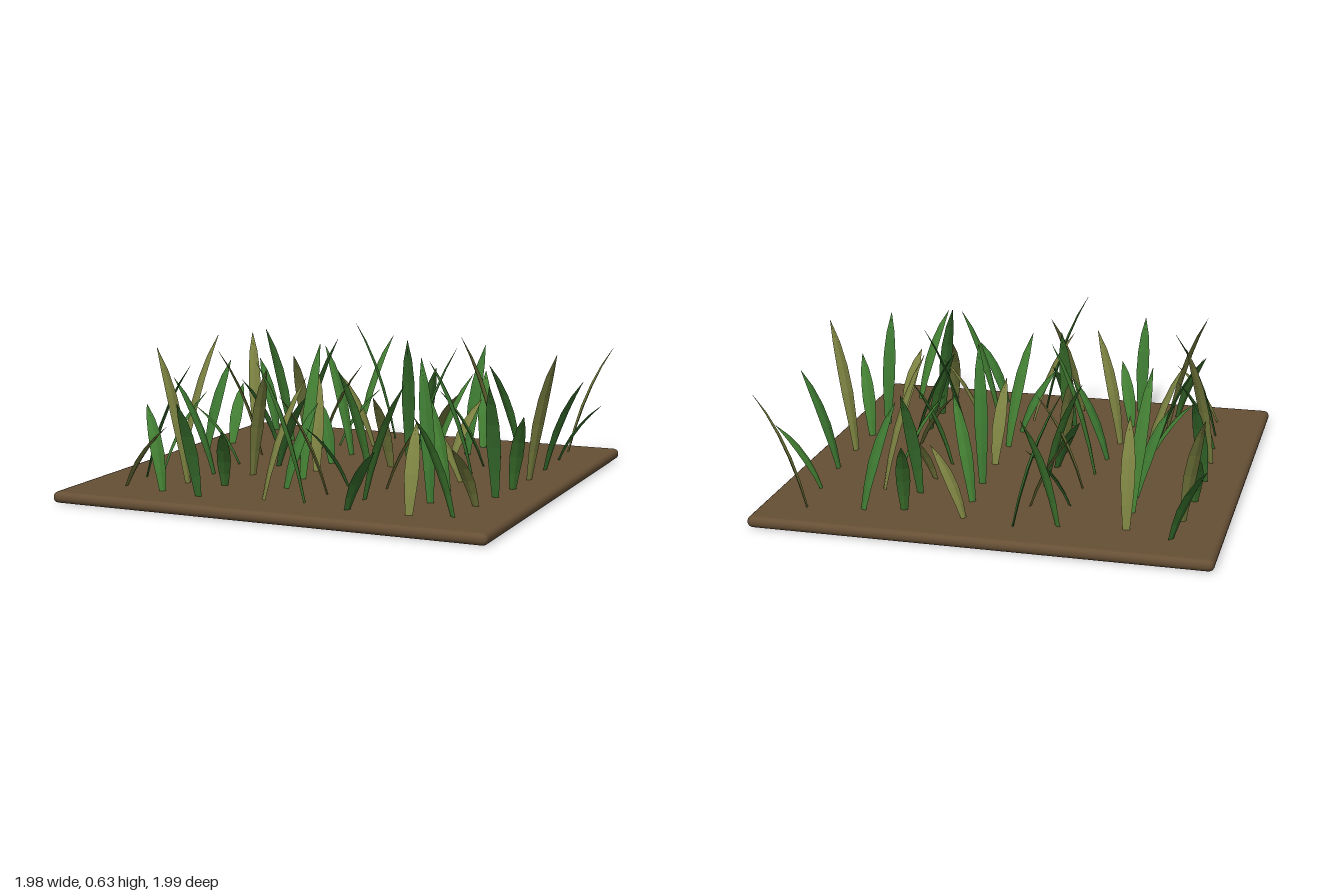
import * as THREE from 'three';
import { RoundedBoxGeometry } from 'three/addons/geometries/RoundedBoxGeometry.js';

const material = (name, color) => {
  const m = new THREE.MeshStandardMaterial({ color });
  m.name = name;
  return m;
};

// One folded leaf: a thin diamond section swept along an arch that leans towards +x
function bladeGeometry(height, reach = 0.205) {
  const path = new THREE.QuadraticBezierCurve(
    new THREE.Vector2(0, 0),
    new THREE.Vector2(0.07, height * 0.62),
    new THREE.Vector2(reach, height)
  );
  const halfWidths = [0.014, 0.023, 0.03, 0.028, 0.019, 0.001];
  const halfThick = [0.004, 0.006, 0.007, 0.006, 0.004, 0.0005];
  const last = halfWidths.length - 1;
  const positions = [];
  const index = [];
  halfWidths.forEach((w, i) => {
    const p = path.getPoint(i / last);
    const t = path.getTangent(i / last);
    const nx = -t.y * halfThick[i];
    const ny = t.x * halfThick[i];
    positions.push(p.x + nx, p.y + ny, 0, p.x, p.y, w, p.x - nx, p.y - ny, 0, p.x, p.y, -w);
    if (i === last) return;
    for (let k = 0; k < 4; k++) {
      const a = i * 4 + k;
      const b = i * 4 + ((k + 1) % 4);
      index.push(a, b, b + 4, a, b + 4, a + 4);
    }
  });
  const indexed = new THREE.BufferGeometry();
  indexed.setAttribute('position', new THREE.Float32BufferAttribute(positions, 3));
  indexed.setIndex(index);
  const flat = indexed.toNonIndexed(); // separate corners give crisp facets
  flat.computeVertexNormals();
  return flat;
}

export function createModel() {
  const model = new THREE.Group();
  model.name = 'grassPatch';

  const soil = material('soil brown', 0x664f35);
  const greens = [
    material('deep green', 0x3b7530),
    material('dry olive', 0x7a8040),
    material('leaf green', 0x427d32),
  ];

  // Soil slab with rounded edges
  const slab = new THREE.Mesh(new RoundedBoxGeometry(1.96, 0.05, 1.96, 2, 0.024), soil);
  slab.name = 'soilSlab';
  slab.position.set(-0.01, 0.025, -0.02);
  model.add(slab);

  // Eight by eight blades in five heights, each turned and nudged from its grid point
  const rootY = 0.04;
  const shapes = [0, 1, 2, 3, 4].map((n) => bladeGeometry(0.32 + n * 0.077 - rootY));
  const blades = new THREE.Group();
  blades.name = 'grassBlades';
  for (let i = 0; i < 8; i++) {
    for (let j = 0; j < 8; j++) {
      const blade = new THREE.Mesh(shapes[(1 + i + 2 * j) % 5], greens[(i + j) % 3]);
      blade.name = 'grassBlade';
      blade.position.set(
        -0.79 + 0.2225 * i + 0.032 * Math.cos(0.57 * (j - 8.5 + 3.93 * i)),
        rootY,
        -0.79 + 0.22 * j + 0.035 * Math.cos(1.05 * (j - 4 - 1.62 * i))
      );
      blade.rotation.y = THREE.MathUtils.degToRad(141 + 137 * i - 20 * j);
      blades.add(blade);
    }
  }
  model.add(blades);
  return model;
}
